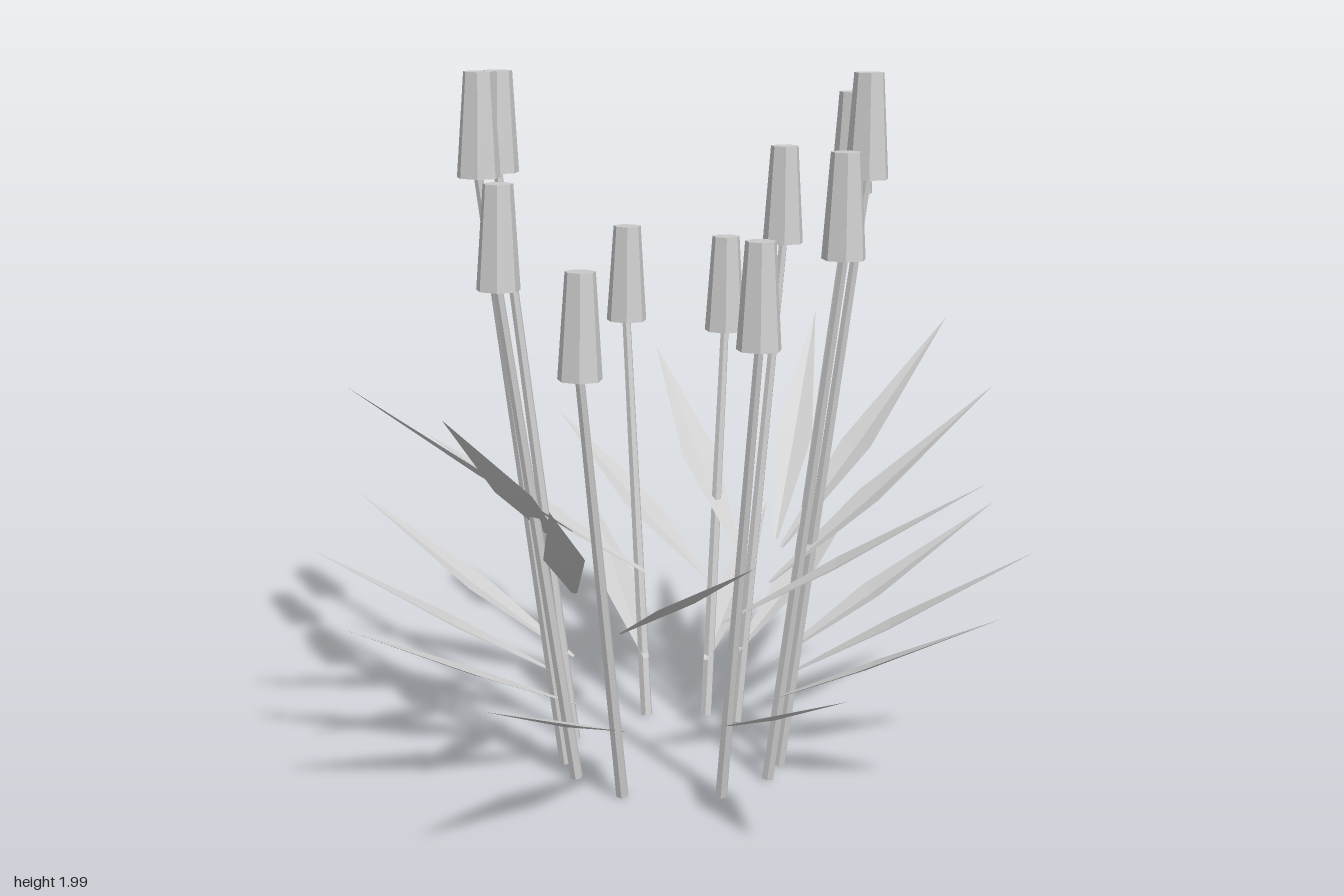
import * as THREE from 'three';

const material = new THREE.MeshStandardMaterial({ color: 0xcccccc, flatShading: true });
const leafMaterial = new THREE.MeshStandardMaterial({ color: 0xcccccc, flatShading: true, side: THREE.DoubleSide });

const LEAF_REACH = 0.697;
const HEAD_HEIGHT = 0.28;

// One reed each: base x, base z, head bottom x, y, z, low leaf direction in degrees
const REEDS = [
  [-0.09, -0.32, -0.14, 1.665, -0.53, 255.8],
  [-0.24, -0.23, -0.395, 1.70, -0.375, 222.4],
  [-0.30, -0.14, -0.496, 1.43, -0.225, 202.6],
  [-0.32, 0.04, -0.528, 1.24, 0.075, 171],
  [-0.155, 0.26, -0.256, 1.32, 0.445, 117.5],
  [0.02, 0.295, 0.041, 1.515, 0.505, 85.4],
  [0.12, 0.265, 0.212, 1.70, 0.462, 65.4],
  [0.255, 0.15, 0.434, 1.61, 0.272, 32.3],
  [0.305, -0.02, 0.525, 1.42, -0.02, 0],
  [0.29, -0.12, 0.487, 1.14, -0.2, -20.2],
  [0.185, -0.265, 0.315, 1.17, -0.435, -52.4],
];

// Tapered rod between two points
function rod(name, from, to, rBottom, rTop, sides) {
  const dir = to.clone().sub(from);
  const geometry = new THREE.CylinderGeometry(rTop, rBottom, dir.length(), sides);
  const mesh = new THREE.Mesh(geometry, material);
  mesh.name = name;
  mesh.position.copy(from).add(to).multiplyScalar(0.5);
  mesh.quaternion.setFromUnitVectors(new THREE.Vector3(0, 1, 0), dir.normalize());
  return mesh;
}

// Pointed blade rising along +x, slightly folded on its midrib
function leaf(name, rise, azimuth) {
  const stations = [[0, 0.008, 0.002], [0.44, 0.055, 0.012], [1, 0.0005, 0]];
  const points = [];
  for (const [t, half, fold] of stations) {
    for (const side of [-1, 0, 1]) {
      points.push(t * LEAF_REACH, t * rise - (side === 0 ? fold : 0), side * half);
    }
  }
  const index = [];
  for (let i = 0; i < 2; i++) {
    for (let j = 0; j < 2; j++) {
      const a = i * 3 + j;
      index.push(a, a + 1, a + 4, a, a + 4, a + 3);
    }
  }
  let geometry = new THREE.BufferGeometry();
  geometry.setAttribute('position', new THREE.Float32BufferAttribute(points, 3));
  geometry.setIndex(index);
  geometry = geometry.toNonIndexed();
  geometry.computeVertexNormals();
  const mesh = new THREE.Mesh(geometry, leafMaterial);
  mesh.name = name;
  mesh.rotation.y = -azimuth;
  return mesh;
}

export function createModel() {
  const model = new THREE.Group();
  model.name = 'reedClump';
  for (const [x, z, hx, hy, hz, degrees] of REEDS) {
    const reed = new THREE.Group();
    reed.name = 'reed';

    // Leaning stem and its slightly tilted seed head
    const base = new THREE.Vector3(x, 0, z);
    const neck = new THREE.Vector3(hx, hy, hz);
    const crown = neck.clone().add(new THREE.Vector3(0.016, HEAD_HEIGHT, -0.008));
    reed.add(rod('stem', base, neck, 0.018, 0.013, 6));
    reed.add(rod('seedHead', neck, crown, 0.06, 0.041, 7));

    // Low leaf points outward, high leaf is turned one radian
    const azimuth = THREE.MathUtils.degToRad(degrees);
    const low = leaf('lowLeaf', 0.249 * hy, azimuth);
    low.position.set(x, 0.155 * hy, z);
    const high = leaf('highLeaf', 0.318 * hy, azimuth - 1);
    high.position.set(x, 0.385 * hy, z);
    reed.add(low, high);

    model.add(reed);
  }
  return model;
}
